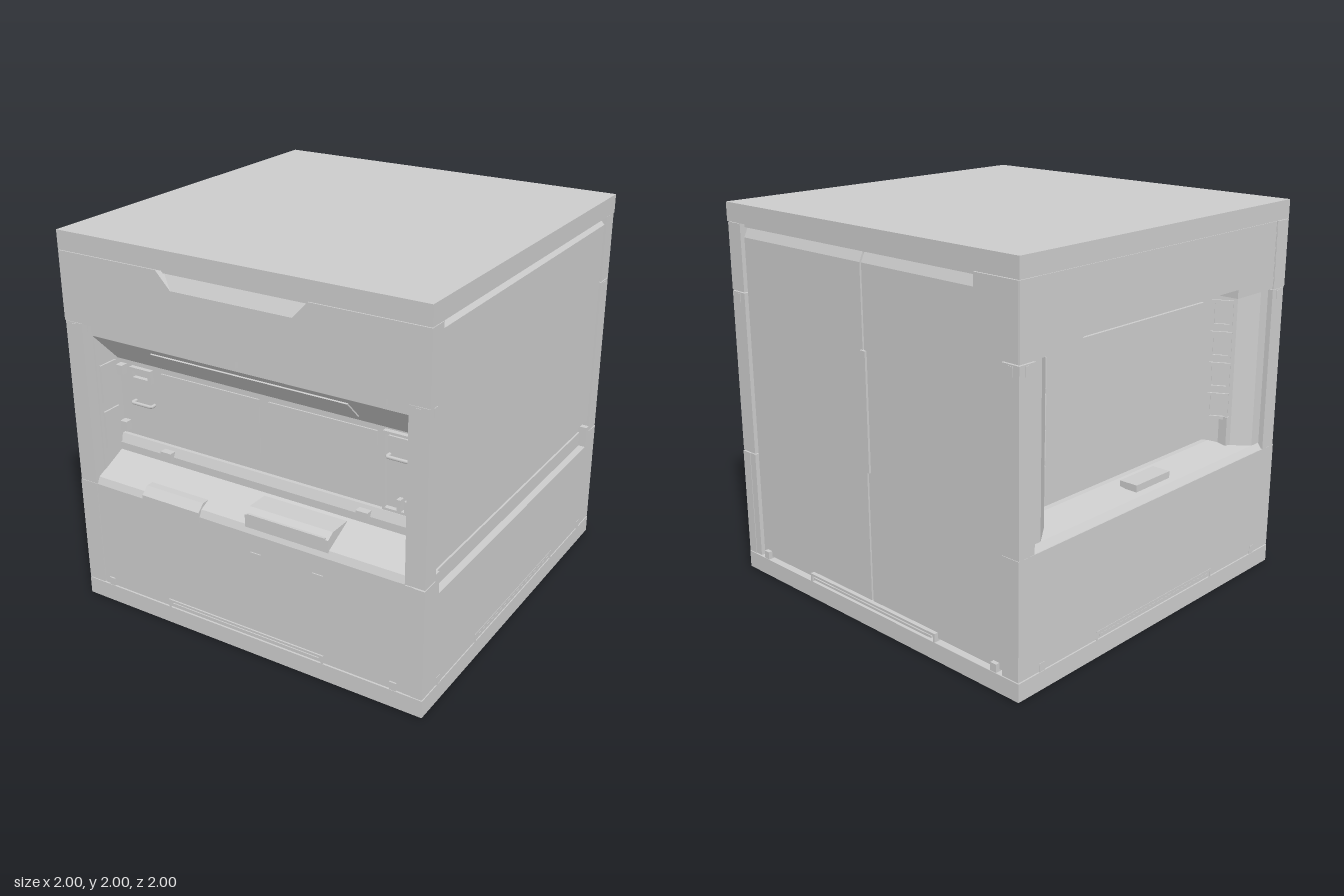
import * as THREE from 'three';

const grey = new THREE.MeshStandardMaterial({ color: 0xcccccc });
grey.name = 'light grey';

function add(parent, name, geometry) {
  const mesh = new THREE.Mesh(geometry, grey);
  mesh.name = name;
  parent.add(mesh);
  return mesh;
}

// Box from its limits on each axis
function box(parent, name, x0, x1, y0, y1, z0, z1) {
  const g = new THREE.BoxGeometry(x1 - x0, y1 - y0, z1 - z0);
  g.translate((x0 + x1) / 2, (y0 + y1) / 2, (z0 + z1) / 2);
  return add(parent, name, g);
}

function extrude(points, depth, holes = []) {
  const toVec = (p) => new THREE.Vector2(p[0], p[1]);
  const shape = new THREE.Shape(points.map(toVec));
  for (const h of holes) shape.holes.push(new THREE.Path(h.map(toVec)));
  return new THREE.ExtrudeGeometry(shape, { depth, bevelEnabled: false });
}

// Profile of [z, y] points swept along x
function prism(parent, name, points, x0, x1) {
  return add(parent, name, extrude(points, x1 - x0).rotateY(-Math.PI / 2).translate(x1, 0, 0));
}

// Face outline of [x, y] points, its front at z1
function plate(parent, name, points, z0, z1, holes) {
  return add(parent, name, extrude(points, z1 - z0, holes).translate(0, 0, z0));
}

const rect = (x0, x1, y0, y1) => [[x0, y0], [x1, y0], [x1, y1], [x0, y1]];

// Thin rectangular outline standing on a face
function frame(parent, name, x0, x1, y0, y1, z0, z1, t) {
  return plate(parent, name, rect(x0, x1, y0, y1), z0, z1, [rect(x0 + t, x1 - t, y0 + t, y1 - t)]);
}

// Grab bar bent at both ends
function grabBar(parent, name, x0, x1, y, z, out, r) {
  const pts = [[x0, z], [x0, z + out], [x1, z + out], [x1, z]].map((p) => new THREE.Vector3(p[0], y, p[1]));
  const path = new THREE.CatmullRomCurve3(pts, false, 'catmullrom', 0.1);
  return add(parent, name, new THREE.TubeGeometry(path, 24, r, 8));
}

// Group whose local +z faces outward on one side of the cube
function side(root, name, turn) {
  const g = new THREE.Group();
  g.name = name;
  g.rotation.y = turn;
  root.add(g);
  return g;
}

function buildShell(root) {
  box(root, 'roofSlab', -1, 1, 1.903, 2, -1, 1);
  box(root, 'roofSeam', -0.97, 0.97, 1.88, 1.91, -0.97, 0.97);
  box(root, 'baseSlab', -1, 1, 0.006, 0.098, -1, 1);
  box(root, 'lowerBody', -0.96, 0.96, 0.09, 0.68, -0.96, 0.95);
  for (const s of [-1, 1]) box(root, 'skidRunner', s * 0.7 - 0.015, s * 0.7 + 0.015, 0, 0.02, -0.77, 0.77);

  // Core with a niche cut in the front and one in the open side
  const footprint = [[0.95, -0.95], [0.95, 0.93], [0.89, 0.93], [0.89, 0.76], [-0.89, 0.76], [-0.89, 0.93],
    [-0.97, 0.93], [-0.97, 0.83], [-0.9, 0.73], [-0.77, 0.66], [-0.77, -0.66], [-0.9, -0.73], [-0.97, -0.83], [-0.97, -0.95]];
  add(root, 'core', extrude(footprint, 1.25).rotateX(Math.PI / 2).translate(0, 1.9, 0));

  // Corner posts in three lengths with latches
  for (const sx of [-1, 1]) for (const sz of [-1, 1]) {
    const post = new THREE.Group();
    post.name = 'cornerPost';
    post.position.set(sx * 0.947, 0, sz * 0.947);
    root.add(post);
    for (const [a, b] of [[0.103, 0.68], [0.685, 1.547], [1.552, 1.9]])
      box(post, 'postSection', -0.05, 0.05, a, b, -0.05, 0.05);
    for (const along of [0, 1]) {
      const w = along ? 0.053 : 0.014, d = along ? 0.014 : 0.053;
      box(post, 'postLatch', -w, w, 1.495, 1.54, -d, d);
    }
  }
}

// Handle slot and corner clips along the bottom edge
function buildFoot(face) {
  frame(face, 'footHandle', -0.465, 0.465, 0.068, 0.142, 0.96, 1, 0.012);
  box(face, 'footHandleBar', -0.44, 0.44, 0.112, 0.124, 0.96, 0.999);
  for (const s of [-1, 1]) {
    box(face, 'footClip', s * 0.845 - 0.018, s * 0.845 + 0.018, 0.1, 0.142, 0.96, 1);
    for (const x of [0.88, 0.965]) box(face, 'footPin', s * x - 0.006, s * x + 0.006, 0.04, 0.062, 0.99, 1);
  }
}

function buildFront(face) {
  // Lower panel rising into a sloped worktop
  prism(face, 'worktop', [[0.7, 0.1], [0.992, 0.1], [0.992, 0.68], [0.975, 0.715], [0.8, 0.80], [0.8, 0.84], [0.78, 0.885], [0.7, 0.885]], -0.893, 0.893);
  prism(face, 'flap', [[0.9, 0.72], [0.999, 0.645], [0.999, 0.705], [0.96, 0.742], [0.9, 0.742]], -0.59, -0.24);
  prism(face, 'tray', [[0.82, 0.75], [0.982, 0.705], [0.982, 0.77], [0.94, 0.795], [0.82, 0.795]], 0.025, 0.49);
  box(face, 'trayLip', 0.04, 0.475, 0.722, 0.78, 0.975, 0.988);
  for (const x of [0.09, 0.44]) box(face, 'slot', x - 0.03, x + 0.03, 0.573, 0.584, 0.98, 0.998);
  for (const x of [-0.575, 0.57]) box(face, 'worktopHinge', x - 0.032, x + 0.032, 0.825, 0.868, 0.77, 0.825);

  // Rear wall fittings
  for (const x of [-0.325, 0.32]) box(face, 'wallScreen', x - 0.295, x + 0.295, 0.925, 1.265, 0.75, 0.768);
  frame(face, 'wallSocket', -0.81, -0.675, 1.2, 1.27, 0.75, 0.785, 0.018);
  grabBar(face, 'wallGrip', -0.8, -0.68, 1.08, 0.755, 0.035, 0.009);
  frame(face, 'cabinetFrame', 0.655, 0.825, 0.89, 1.285, 0.75, 0.785, 0.012);
  box(face, 'cabinetDoor', 0.675, 0.805, 0.97, 1.26, 0.75, 0.772);
  grabBar(face, 'cabinetGrip', 0.685, 0.795, 1.17, 0.765, 0.035, 0.009);
  for (const x of [0.745, 0.785]) box(face, 'cabinetTap', x - 0.01, x + 0.01, 0.905, 0.965, 0.76, 0.795);
  for (const s of [-1, 1]) {
    for (const y of [0.935, 1.245]) box(face, 'wallClip', s * 0.865 - 0.02, s * 0.865 + 0.02, y - 0.026, y + 0.026, 0.75, 0.8);
    // Raised frames on the niche walls
    for (const y of [0.95, 1.2]) box(face, 'nichePad', s * 0.888 - 0.008, s * 0.888 + 0.008, y - 0.1, y + 0.1, 0.8, 0.91);
  }

  // Canopy sloping out over the worktop
  prism(face, 'canopy', [[0.75, 1.3], [0.775, 1.3], [0.94, 1.47], [0.94, 1.56], [0.75, 1.56]], -0.89, 0.89);
  const lamp = new THREE.Mesh(new THREE.BoxGeometry(1.1, 0.135, 0.016), grey);
  lamp.name = 'canopyLamp';
  lamp.position.set(0, 1.39, 0.861);
  lamp.rotation.x = Math.atan2(0.165, 0.17);
  face.add(lamp);
  for (const s of [-1, 1]) box(face, 'lightBar', s * 0.39 - 0.38, s * 0.39 + 0.38, 1.495, 1.55, 0.92, 0.965);

  // Header with a sloped notch at the top
  plate(face, 'header', [[-1, 1.55], [1, 1.55], [1, 1.9], [0.41, 1.9], [0.33, 1.815], [-0.33, 1.815], [-0.41, 1.9], [-1, 1.9]], 0.9, 1);
  prism(face, 'headerSlope', [[0.9, 1.8], [0.998, 1.8], [0.998, 1.815], [0.95, 1.9], [0.9, 1.9]], -0.41, 0.41);
  box(face, 'headerRail', -0.55, 0.55, 1.553, 1.577, 0.98, 0.999).position.z = 0.001;
  for (const s of [-1, 1]) box(face, 'railProng', s * 0.547 - 0.012, s * 0.547 + 0.012, 1.55, 1.632, 0.98, 1);
}

function buildClosedSide(face) {
  prism(face, 'sidePanel', [[0.9, 0.72], [0.955, 0.72], [0.988, 0.752], [0.988, 1.86], [0.955, 1.9], [0.9, 1.9]], -0.896, 0.896);
  plate(face, 'sideSkirt', [[-1, 0.103], [1, 0.103], [1, 0.68], [0.9, 0.68], [0.9, 0.715], [0.865, 0.715], [0.865, 0.6],
    [-0.865, 0.6], [-0.865, 0.715], [-0.9, 0.715], [-0.9, 0.68], [-1, 0.68]], 0.94, 0.998);
}

function buildBack(face) {
  const profile = [[0.9, 0.112], [0.978, 0.112], [0.978, 1.83], [0.95, 1.89], [0.9, 1.89]];
  prism(face, 'doorLeft', profile, 0.006, 0.892);
  prism(face, 'doorRight', profile, -0.892, -0.006);
  box(face, 'doorHandle', -0.014, 0.022, 0.82, 1.42, 0.96, 0.99);
}

function buildOpenSide(face) {
  box(face, 'openSkirt', -1, 1, 0.103, 0.685, 0.9, 0.998);
  prism(face, 'openLedge', [[0.7, 0.6], [0.992, 0.6], [0.992, 0.685], [0.97, 0.715], [0.8, 0.745], [0.7, 0.745]], -0.893, 0.893);
  box(face, 'ledgeBox', -0.13, 0.13, 0.73, 0.765, 0.85, 0.95);
  box(face, 'openScreen', -0.6, 0.6, 0.83, 1.5, 0.76, 0.785);
  // Header with deeper blocks at the ends
  plate(face, 'openHeader', [[-1, 1.555], [-0.66, 1.555], [-0.58, 1.6], [0.58, 1.6], [0.58, 1.555], [1, 1.555], [1, 1.9], [-1, 1.9]], 0.74, 0.995);
  for (const s of [-1, 1]) {
    // Framed pockets on the angled niche walls
    const wall = new THREE.Group();
    wall.name = 'pocketColumn';
    wall.position.set(s * 0.695, 0, 0.835);
    wall.rotation.y = -s * 1.08;
    face.add(wall);
    for (let i = 0; i < 4; i++) {
      const y = 0.87 + i * 0.165;
      frame(wall, 'pocket', -0.055, 0.055, y, y + 0.14, -0.01, 0.012, 0.016);
    }
  }
}

export function createModel() {
  const root = new THREE.Group();
  root.name = 'cubeModule';
  buildShell(root);
  const builders = [['front', buildFront], ['closedSide', buildClosedSide], ['back', buildBack], ['openSide', buildOpenSide]];
  builders.forEach(([name, build], i) => {
    const face = side(root, name, (i * Math.PI) / 2);
    build(face);
    buildFoot(face);
  });
  return root;
}
